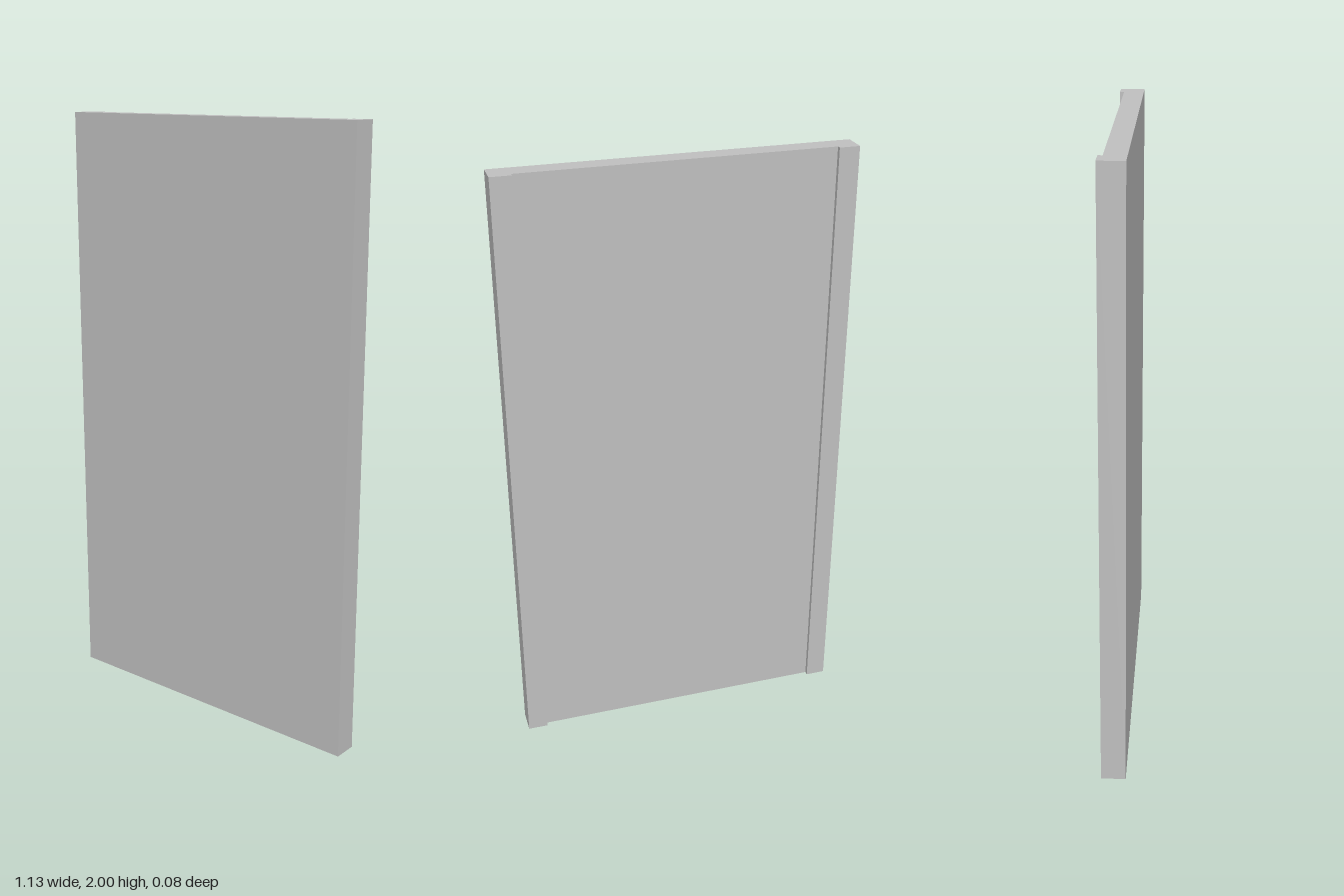
import * as THREE from 'three';

export function createModel() {
  const group = new THREE.Group();
  group.name = 'panel';
  const grey = new THREE.MeshStandardMaterial({ color: 0xc0c0c0 });
  grey.name = 'grey';

  const halfWidth = 0.563, inner = 0.497, height = 2;
  const front = 0.04, recess = -0.026, back = -0.04;

  // Plan outline as [x, z]: flat front, a raised strip along each rear edge
  const half = [[halfWidth, front], [halfWidth, back], [inner, back], [inner, recess]];
  const mirrored = half.map(([x, z]) => [-x, z]).reverse();
  const outline = [...half, ...mirrored].map(([x, z]) => new THREE.Vector2(x, -z));

  // Outline extruded upwards
  const geometry = new THREE.ExtrudeGeometry(new THREE.Shape(outline), { depth: height, bevelEnabled: false });
  geometry.rotateX(-Math.PI / 2);
  const board = new THREE.Mesh(geometry, grey);
  board.name = 'boardWithEdgeStrips';
  group.add(board);
  return group;
}
